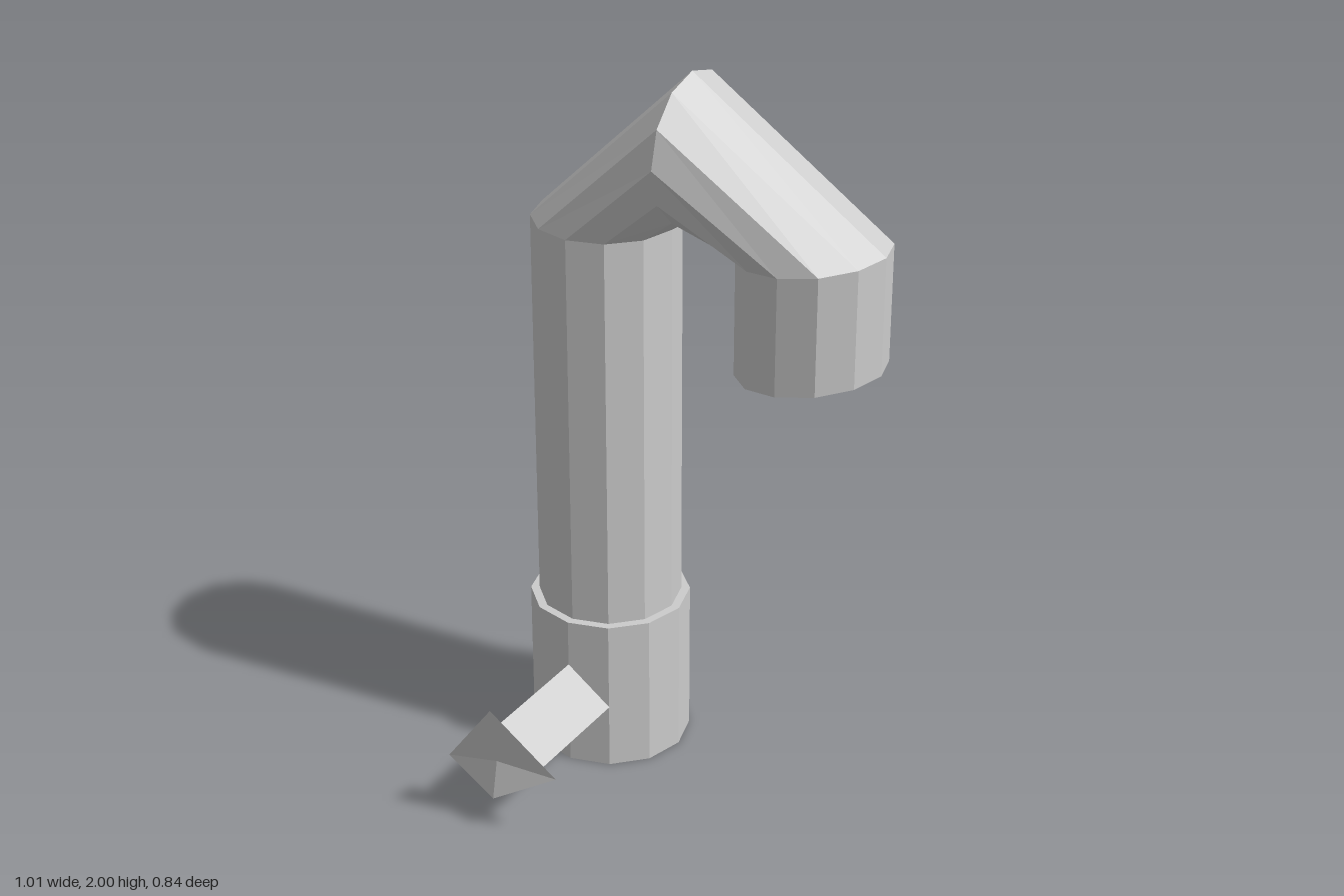
import * as THREE from 'three';

const SIDES = 12;

// Skin a list of closed rings (arrays of Vector3), with fan caps at both ends
function loft(rings) {
  const pos = [];
  const tri = (...pts) => pts.forEach((p) => pos.push(p.x, p.y, p.z));
  const n = rings[0].length;
  const centre = (ring) =>
    ring.reduce((sum, p) => sum.add(p), new THREE.Vector3()).divideScalar(n);
  const first = rings[0];
  const last = rings[rings.length - 1];
  for (let i = 0; i < n; i++) {
    const j = (i + 1) % n;
    for (let k = 0; k < rings.length - 1; k++) {
      const a = rings[k];
      const b = rings[k + 1];
      tri(a[i], b[i], a[j]);
      tri(a[j], b[i], b[j]);
    }
    tri(centre(first), first[i], first[j]);
    tri(centre(last), last[j], last[i]);
  }
  const geo = new THREE.BufferGeometry();
  geo.setAttribute('position', new THREE.Float32BufferAttribute(pos, 3));
  geo.computeVertexNormals();
  return geo;
}

// Pipe ring: (dx, dy) is the direction of the bend's inner side
function pipeRing(x, y, z, r, dx, dy) {
  return Array.from({ length: SIDES }, (_, i) => {
    const a = (i / SIDES) * Math.PI * 2;
    const c = Math.cos(a) * r;
    return new THREE.Vector3(x + c * dx, y + c * dy, z + Math.sin(a) * r);
  });
}

// Kite-shaped handle section; side corners sit further back than the ridge
function kiteRing(scale, ridgeZ, sideZ) {
  const x = -0.283, y = 0.19;
  return [
    new THREE.Vector3(x, y + 0.185 * scale, ridgeZ),
    new THREE.Vector3(x + 0.172 * scale, y, sideZ),
    new THREE.Vector3(x, y - 0.095 * scale, ridgeZ),
    new THREE.Vector3(x - 0.172 * scale, y - 0.04 * scale, sideZ),
  ];
}

export function createModel() {
  const metal = new THREE.MeshStandardMaterial({ color: 0xcccccc });
  metal.name = 'grey metal';
  metal.flatShading = true;

  const group = new THREE.Group();
  group.name = 'tap';
  const add = (name, geo) => {
    const mesh = new THREE.Mesh(geo, metal);
    mesh.name = name;
    group.add(mesh);
    return mesh;
  };

  // Wide collar the pipe stands in
  add('base', new THREE.CylinderGeometry(0.222, 0.222, 0.445, SIDES))
    .position.set(-0.283, 0.2225, -0.187);

  // Upright pipe, peaked bend, outlet and its recessed mouth
  add('spout', loft([
    pipeRing(-0.283, 0.3, -0.187, 0.198, 1, 0),
    pipeRing(-0.283, 1.565, -0.187, 0.198, 1, 0),
    pipeRing(-0.03, 1.8, -0.19, 0.199, 0, -1),
    pipeRing(0.307, 1.577, -0.222, 0.198, -1, -0.128),
    pipeRing(0.307, 1.255, -0.222, 0.198, -1, -0.128),
    pipeRing(0.307, 1.255, -0.222, 0.18, -1, -0.128),
    pipeRing(0.307, 1.3, -0.222, 0.18, -1, -0.128),
  ]));

  // Handle bar with a flared, ridged end
  add('handle', loft([
    kiteRing(0.65, -0.1, -0.1),
    kiteRing(0.65, 0.392, 0.362),
    kiteRing(1, 0.418, 0.372),
  ]));

  return group;
}
